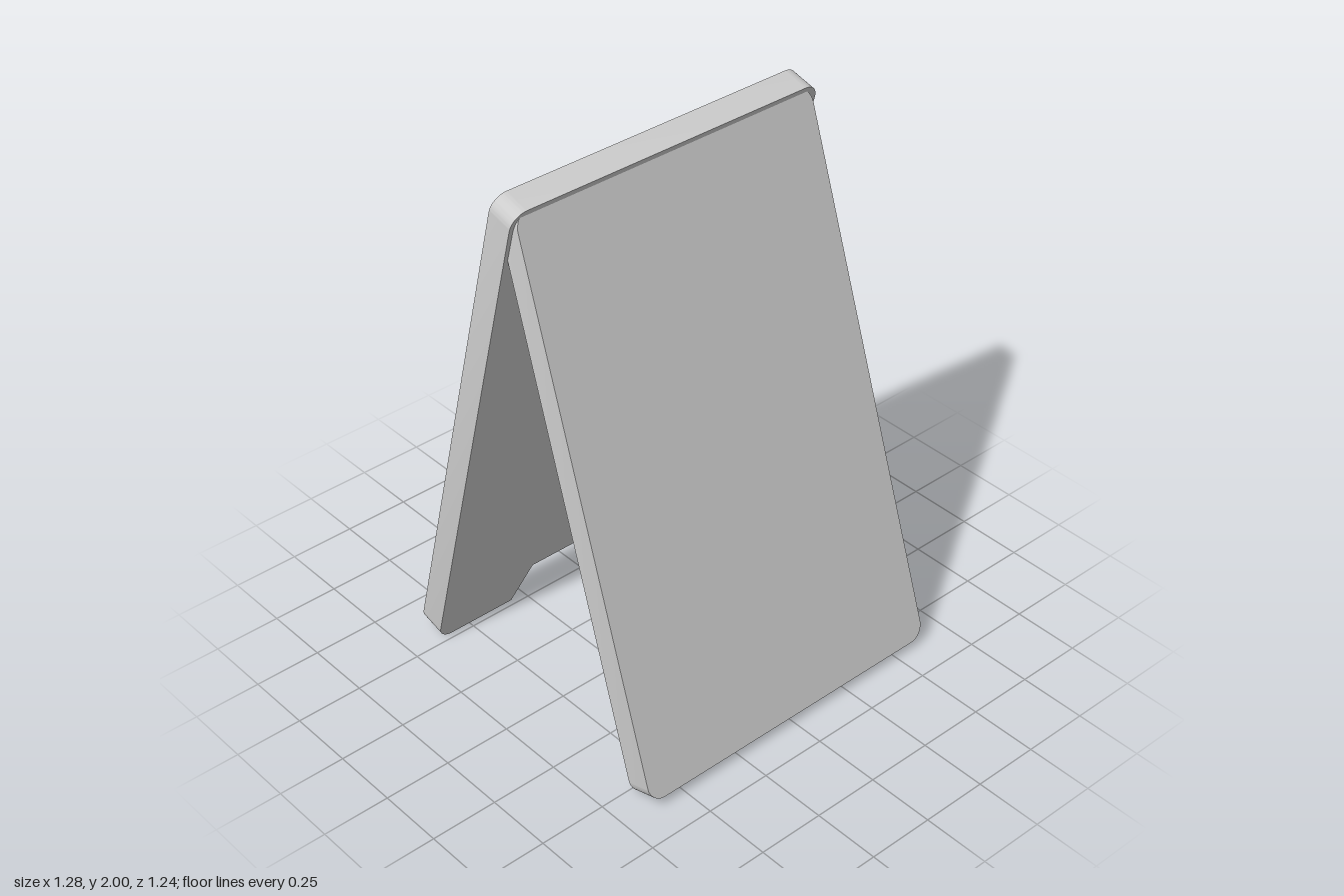
import * as THREE from 'three';
import { toCreasedNormals } from 'three/addons/utils/BufferGeometryUtils.js';

const material = new THREE.MeshStandardMaterial({ color: 0xcccccc });
const LENGTH = 2.04, THICK = 0.1, RADIUS = 0.06;

function polygon(points, Type = THREE.Path) {
  return new Type(points.map(([x, y]) => new THREE.Vector2(x, y)));
}

// Rounded board outline from y = 0 up to LENGTH, with an optional bottom notch
function boardShape(halfWidth, notch) {
  const w = halfWidth, h = LENGTH, r = RADIUS;
  const s = new THREE.Shape();
  s.moveTo(-w + r, 0);
  if (notch) notch.forEach(([x, y]) => s.lineTo(x, y));
  s.lineTo(w - r, 0);
  s.absarc(w - r, r, r, -Math.PI / 2, 0);
  s.lineTo(w, h - r);
  s.absarc(w - r, h - r, r, 0, Math.PI / 2);
  s.lineTo(-w + r, h);
  s.absarc(-w + r, h - r, r, Math.PI / 2, Math.PI);
  s.lineTo(-w, r);
  s.absarc(-w + r, r, r, Math.PI, Math.PI * 1.5);
  return s;
}

function extrude(shape) {
  return new THREE.ExtrudeGeometry(shape, { depth: THICK, bevelEnabled: false, curveSegments: 8 });
}

function add(parent, name, geometry) {
  const mesh = new THREE.Mesh(geometry, material);
  mesh.name = name;
  parent.add(mesh);
  return mesh;
}

export function createModel() {
  const model = new THREE.Group();
  model.name = 'foldingSignStand';

  // Front board: plain, slightly narrower and thinner towards the hinge
  const front = extrude(boardShape(0.638));
  const p = front.attributes.position;
  for (let i = 0; i < p.count; i++) {
    const t = p.getY(i) / LENGTH;
    p.setX(i, p.getX(i) * (1 - 0.038 * t) - 0.007);
    p.setZ(i, p.getZ(i) * (1 - 0.1 * t));
  }
  const frontBoard = add(model, 'frontBoard', toCreasedNormals(front, 0.6));
  frontBoard.position.set(0, 0.003, 0.53);
  frontBoard.rotation.x = -0.311;

  // Back board: outer face at local z = 0, inner face at z = THICK
  const back = new THREE.Group();
  back.name = 'backBoard';
  back.rotation.x = 0.26;
  back.position.set(0, 2, -0.095);
  back.translateY(-LENGTH);
  model.add(back);

  const shape = boardShape(0.637, [[-0.31, 0], [-0.235, 0.15], [0.235, 0.15], [0.31, 0]]);

  // Handle slot with chamfered ends
  const sx = 0.162, sy = 0.042, c = 0.027, yc = LENGTH - 0.21;
  shape.holes.push(polygon([
    [-sx + c, yc - sy], [-sx, yc - sy + c], [-sx, yc + sy - c], [-sx + c, yc + sy],
    [sx - c, yc + sy], [sx, yc + sy - c], [sx, yc - sy + c], [sx - c, yc - sy],
  ]));

  // Recess opening, closed by a floor halfway through the board
  const rx = 0.576, low = LENGTH - 1.615, high = LENGTH - 0.447;
  shape.holes.push(polygon([[-rx, low], [-rx, high], [rx, high], [rx, low]]));
  add(back, 'backFrame', toCreasedNormals(extrude(shape), 0.6));

  const panel = new THREE.PlaneGeometry(2 * rx, high - low);
  const floor = add(back, 'recessFloor', panel);
  floor.position.set(0, (low + high) / 2, THICK / 2);
  floor.rotation.y = Math.PI;
  const inner = add(back, 'innerFace', panel);
  inner.position.set(0, (low + high) / 2, THICK);

  return model;
}
